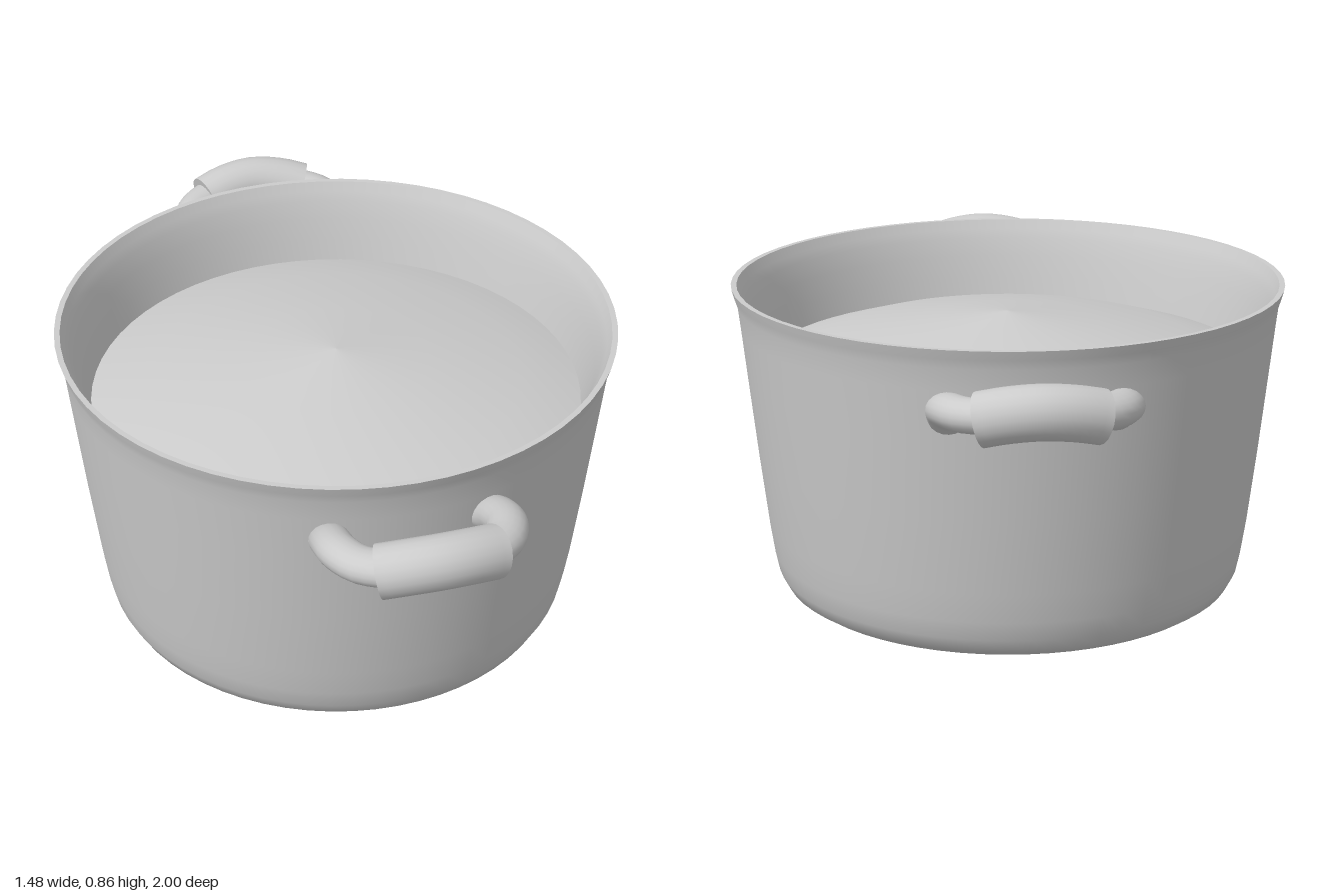
import * as THREE from 'three';

const grey = new THREE.MeshStandardMaterial({ color: 0xcccccc, side: THREE.DoubleSide });
const SIDES = 64;

function lathe(name, points) {
  const geo = new THREE.LatheGeometry(points.map(([r, y]) => new THREE.Vector2(r, y)), SIDES);
  const mesh = new THREE.Mesh(geo, grey);
  mesh.name = name;
  return mesh;
}

// Tube along a smooth path, flattened vertically by squash, with flat end caps
function rod(name, points, radius, segments, squash) {
  const group = new THREE.Group();
  group.name = name;
  const path = new THREE.CatmullRomCurve3(points.map((p) => new THREE.Vector3(...p)));
  const sides = 20;
  const geo = new THREE.TubeGeometry(path, segments, radius, sides, false);
  const pos = geo.attributes.position;
  for (let i = 0; i < pos.count; i++) {
    const c = path.getPointAt(Math.floor(i / (sides + 1)) / segments);
    pos.setY(i, c.y + (pos.getY(i) - c.y) * squash);
  }
  geo.computeVertexNormals();
  // keep the shading continuous across the tube's seam
  const n = geo.attributes.normal;
  for (let r = 0; r <= segments; r++) {
    const a = r * (sides + 1), b = a + sides;
    const v = new THREE.Vector3().fromBufferAttribute(n, a)
      .add(new THREE.Vector3().fromBufferAttribute(n, b)).normalize();
    n.setXYZ(a, v.x, v.y, v.z);
    n.setXYZ(b, v.x, v.y, v.z);
  }
  group.add(new THREE.Mesh(geo, grey));
  for (const t of [0, 1]) {
    const cap = new THREE.Mesh(new THREE.CircleGeometry(radius, sides), grey);
    const dir = path.getTangentAt(t).multiplyScalar(t ? 1 : -1);
    cap.scale.y = squash;
    cap.position.copy(path.getPointAt(t));
    cap.lookAt(cap.position.clone().add(dir));
    group.add(cap);
  }
  return group;
}

function createHandle(name) {
  const handle = new THREE.Group();
  handle.name = name;
  // Two bent arms growing out of the wall
  for (const s of [-1, 1]) {
    handle.add(rod(s > 0 ? 'leftArm' : 'rightArm', [
      [s * 0.205, 0.68, 0.675], [s * 0.213, 0.712, 0.73], [s * 0.211, 0.735, 0.80],
      [s * 0.18, 0.743, 0.865], [s * 0.12, 0.75, 0.91],
    ], 0.052, 12, 0.82));
  }
  // Thicker arched grip between the arms
  handle.add(rod('grip', [
    [-0.145, 0.741, 0.9], [-0.08, 0.757, 0.921], [0, 0.765, 0.932],
    [0.08, 0.757, 0.921], [0.145, 0.741, 0.9],
  ], 0.068, 12, 1));
  return handle;
}

export function createModel() {
  const pot = new THREE.Group();
  pot.name = 'cookingPot';

  // Flat base, rounded foot, flaring wall and thin lip, then down the inside
  pot.add(lathe('base', [[0, 0], [0.56, 0]]));
  pot.add(lathe('outerWall', [
    [0.56, 0], [0.585, 0.01], [0.615, 0.03], [0.635, 0.068], [0.646, 0.12], [0.658, 0.2],
    [0.682, 0.4], [0.706, 0.62], [0.72, 0.75], [0.727, 0.81], [0.735, 0.835], [0.742, 0.86],
  ]));
  pot.add(lathe('lip', [[0.742, 0.86], [0.727, 0.86]]));
  pot.add(lathe('innerWall', [
    [0.727, 0.86], [0.715, 0.835], [0.703, 0.81], [0.688, 0.76], [0.672, 0.7], [0.655, 0.63],
  ]));

  // Gently domed filling
  pot.add(lathe('filling', [[0.658, 0.64], [0.5, 0.69], [0.25, 0.735], [0, 0.77]]));

  // Matching handles front and back
  const front = createHandle('frontHandle');
  const back = createHandle('backHandle');
  back.rotation.y = Math.PI;
  pot.add(front, back);
  return pot;
}
